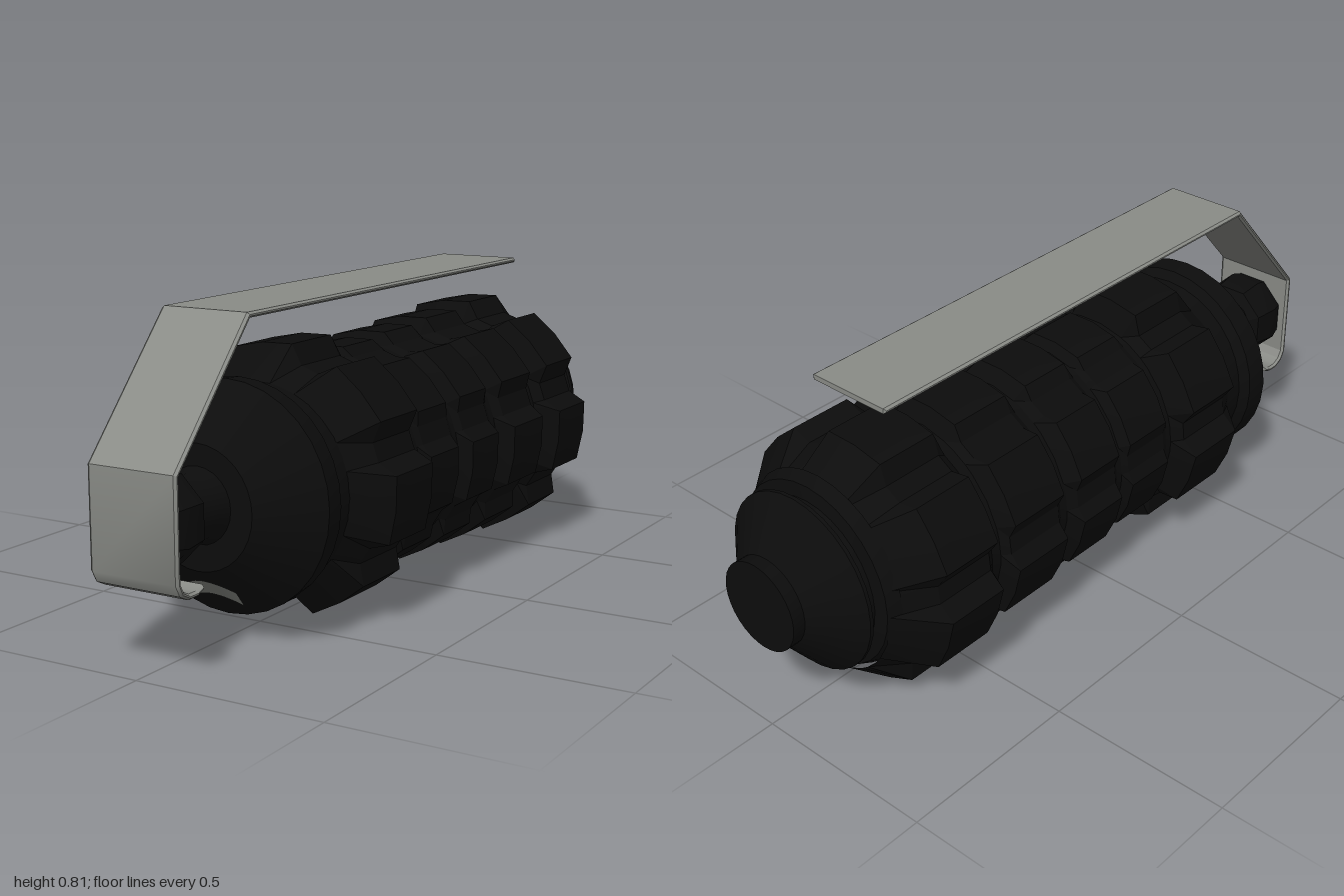
import * as THREE from 'three';
import { toCreasedNormals } from 'three/addons/utils/BufferGeometryUtils.js';

const black = new THREE.MeshStandardMaterial({ color: 0x0c0c0c });
black.name = 'blackIron';
const grey = new THREE.MeshStandardMaterial({ color: 0x8a8c87 });
grey.name = 'greySteel';

const AXIS_Y = 0.35;

// Smooth turned part along z; profile is [z, radius] with z increasing
function turned(name, profile, y, segments = 32) {
  const pts = profile.map(([z, r]) => new THREE.Vector2(r, z));
  const geo = new THREE.LatheGeometry(pts, segments);
  geo.rotateX(Math.PI / 2);
  const mesh = new THREE.Mesh(toCreasedNormals(geo, 0.45), black);
  mesh.name = name;
  mesh.position.y = y;
  return mesh;
}

// Toothed skin: seven raised blocks round the axis, lofted through [z, gapRadius, blockRadius]
function toothedBody(sections) {
  const steps = [[-21, 0], [-14.5, 1], [0, 0.93], [14.5, 1], [21, 0]];
  const n = 7 * steps.length;
  const pos = [], index = [];
  for (const [z, gap, top] of sections) {
    for (let k = 0; k < 7; k++) {
      for (const [deg, f] of steps) {
        const a = THREE.MathUtils.degToRad(-6.5 + (k * 360) / 7 + deg);
        const r = gap + (top - gap) * f;
        pos.push(r * Math.cos(a), r * Math.sin(a), z);
      }
    }
  }
  for (let i = 0; i < sections.length - 1; i++) {
    for (let j = 0; j < n; j++) {
      const a = i * n + j, b = i * n + ((j + 1) % n);
      index.push(a, a + n, b, b, a + n, b + n);
    }
  }
  const geo = new THREE.BufferGeometry();
  geo.setAttribute('position', new THREE.Float32BufferAttribute(pos, 3));
  geo.setIndex(index);
  const mesh = new THREE.Mesh(toCreasedNormals(geo, 0.3), black);
  mesh.name = 'blockBody';
  mesh.position.y = AXIS_Y;
  return mesh;
}

// Bent strip with chamfered long edges
function lever() {
  const outer = [[-0.68, 0.813], [0.71, 0.813], [1, 0.49], [1, 0.24], [0.985, 0.212], [0.955, 0.197], [0.925, 0.197], [0.9, 0.207]];
  const inner = [[0.9, 0.22], [0.925, 0.211], [0.953, 0.211], [0.974, 0.222], [0.986, 0.243], [0.986, 0.485], [0.703, 0.799], [-0.68, 0.799]];
  const shape = new THREE.Shape([...outer, ...inner].map(([z, y]) => new THREE.Vector2(z, y)));
  const geo = new THREE.ExtrudeGeometry(shape, {
    depth: 0.234, bevelEnabled: true, bevelThickness: 0.007,
    bevelSize: 0.005, bevelOffset: -0.005, bevelSegments: 1,
  });
  geo.translate(0, 0, -0.117);
  geo.rotateY(-Math.PI / 2);
  const mesh = new THREE.Mesh(toCreasedNormals(geo, 0.5), grey);
  mesh.name = 'lever';
  return mesh;
}

// Small arched plate lying on the front cone
function frontPlate() {
  const geo = new THREE.PlaneGeometry(0.145, 1, 12, 2);
  const p = geo.attributes.position;
  for (let i = 0; i < p.count; i++) {
    const x = p.getX(i), t = p.getY(i);
    const arch = 0.05 * Math.min(1, (x / 0.0725) ** 2);
    const y = 0.148 - arch * 0.56 + t * 0.04;
    const r = Math.hypot(x, y - AXIS_Y);
    p.setXYZ(i, x, y, 0.762 - (r - 0.155) * 0.852);
  }
  geo.computeVertexNormals();
  const mesh = new THREE.Mesh(geo, grey);
  mesh.name = 'frontPlate';
  return mesh;
}

export function createModel() {
  const model = new THREE.Group();
  model.name = 'grenadeProp';

  // Five rows of blocks: [front, rear, gap radius, block radius, front slope, rear slope]
  const rows = [
    [0.5, 0.21, 0.305, 0.35, 0.08, 0.03],
    [0.19, 0, 0.29, 0.308, 0.02, 0.02],
    [-0.02, -0.22, 0.295, 0.32, 0.02, 0.03],
    [-0.245, -0.47, 0.3, 0.331, 0.025, 0.02],
    [-0.5, -0.82, 0.305, 0.348, 0.03, 0.115],
  ];
  const sections = [];
  rows.forEach(([z0, z1, gap, top, s0, s1], i) => {
    const front = i === 0 ? 0.262 : 0.283, rear = i === 4 ? 0.25 : 0.283;
    sections.push([z0, front, front], [z0 - s0, gap, top], [z1 + s1, gap, top], [z1, rear, rear]);
  });
  model.add(toothedBody(sections));

  // Front shoulder
  model.add(turned('frontShoulder', [
    [0.48, 0.262], [0.555, 0.262], [0.575, 0.285], [0.635, 0.29], [0.755, 0.155], [0.755, 0],
  ], AXIS_Y));

  // Neck and faceted head behind the lever
  model.add(turned('neck', [[0.74, 0.1], [0.79, 0.085], [0.86, 0.085]], 0.355, 24));
  const head = turned('fuzeHead', [
    [0.85, 0], [0.85, 0.085], [0.87, 0.112], [0.94, 0.122], [0.978, 0.11], [0.978, 0],
  ], 0.357, 8);
  head.rotation.z = Math.PI / 8;
  model.add(head);

  // Rear collar and stepped cap
  model.add(turned('rearCap', [
    [-1, 0], [-1, 0.12], [-0.965, 0.12], [-0.89, 0.215], [-0.87, 0.24],
    [-0.86, 0.24], [-0.855, 0.213], [-0.83, 0.213], [-0.825, 0.25], [-0.79, 0.265],
  ], 0.367));

  model.add(lever(), frontPlate());
  return model;
}
